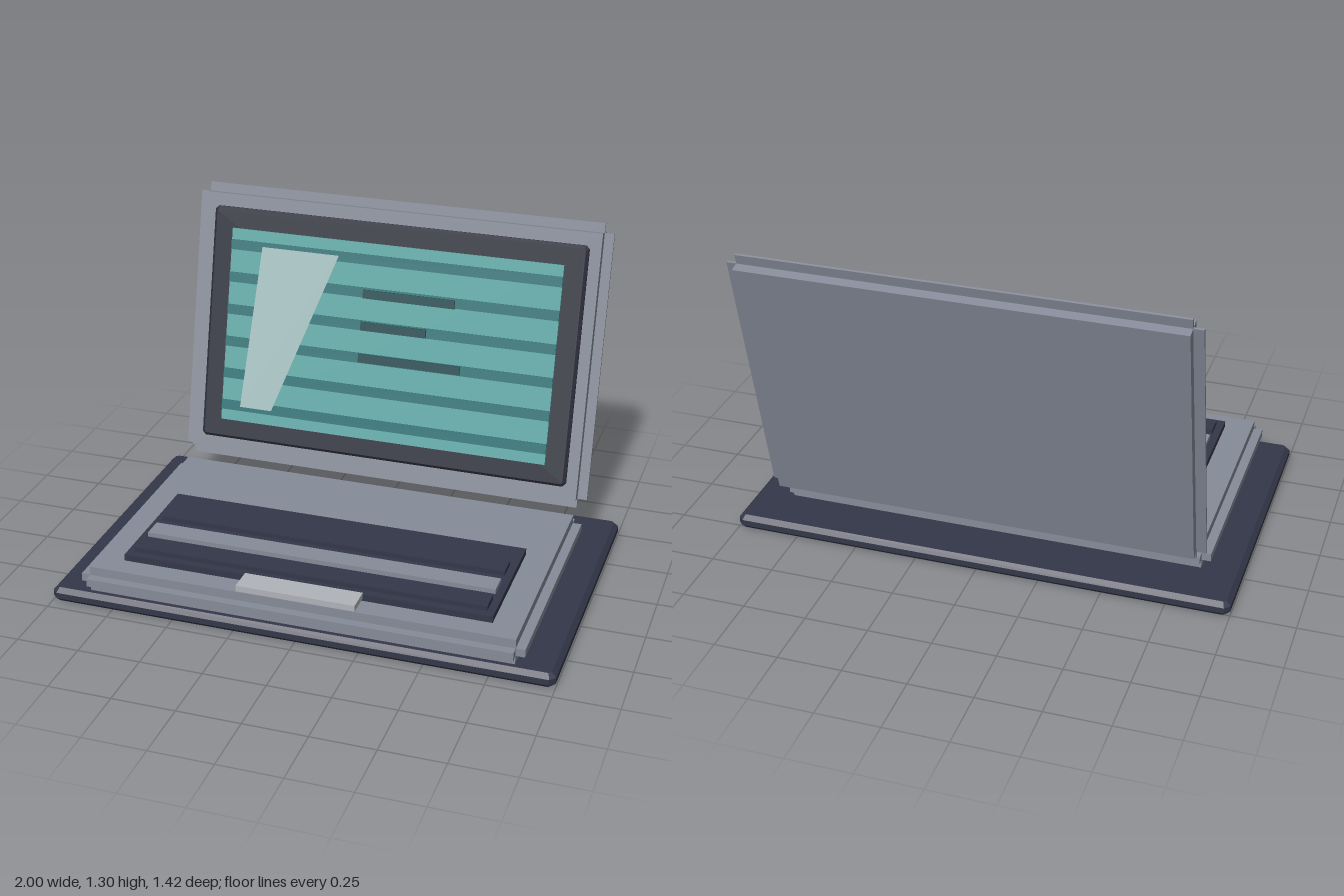
import * as THREE from 'three';

const mat = (color) => new THREE.MeshStandardMaterial({ color, flatShading: true });
const M = {
  slate: mat(0x343749), shell: mat(0x858b98), bezel: mat(0x2e303d), screen: mat(0x5fa8a6),
  stripe: mat(0x2f7376), bar: mat(0x1f4a50), pad: mat(0xb0b3b9), glare: mat(0xa5c0bf),
};
M.glare.side = THREE.DoubleSide;

function add(parent, name, geometry, material, x = 0, y = 0, z = 0) {
  const mesh = new THREE.Mesh(geometry, material);
  mesh.name = name;
  mesh.position.set(x, y, z);
  parent.add(mesh);
  return mesh;
}

const box = (parent, name, material, w, h, d, x, y, z) =>
  add(parent, name, new THREE.BoxGeometry(w, h, d), material, x, y, z);

// Slab with every edge chamfered by c, centred, thickness along z
function chamferSlab(w, h, d, c) {
  const a = w / 2 - c, b = h / 2 - c, k = c * 0.6;
  const shape = new THREE.Shape([
    [-a + k, -b], [a - k, -b], [a, -b + k], [a, b - k],
    [a - k, b], [-a + k, b], [-a, b - k], [-a, -b + k],
  ].map(([x, y]) => new THREE.Vector2(x, y)));
  return new THREE.ExtrudeGeometry(shape, {
    depth: d - 2 * c, bevelEnabled: true, bevelThickness: c, bevelSize: c, bevelSegments: 1,
  }).translate(0, 0, -d / 2 + c);
}

// Stepped-edge block: three crossing boxes, each full size along one axis
function steppedBlock(parent, name, material, w, h, d, r) {
  const group = new THREE.Group();
  group.name = name;
  const s = 2 * r;
  box(group, name + 'Wide', material, w, h - s, d - s, 0, 0, 0);
  box(group, name + 'Tall', material, w - s, h, d - s, 0, 0, 0);
  box(group, name + 'Deep', material, w - s, h - s, d, 0, 0, 0);
  parent.add(group);
  return group;
}

export function createModel() {
  const model = new THREE.Group();
  model.name = 'laptop';

  // Bottom plate
  add(model, 'basePlate', chamferSlab(2, 1.23, 0.06, 0.018).rotateX(-Math.PI / 2),
    M.slate, 0, 0.03, 0.095);

  // Body
  steppedBlock(model, 'body', M.shell, 1.76, 0.104, 1.06, 0.036).position.set(0, 0.113, 0.182);

  // Keyboard and trackpad
  box(model, 'keyboardDeck', M.slate, 1.47, 0.028, 0.53, 0, 0.177, 0.325);
  [0.247, 0.387, 0.513].forEach((z, i) =>
    box(model, 'keyRow', i === 1 ? M.shell : M.slate, 1.41, 0.022, 0.086, 0, 0.199, z));
  box(model, 'trackpad', M.pad, 0.47, 0.024, 0.1, 0, 0.187, 0.638);

  // Tilted lid
  const lid = new THREE.Group();
  lid.name = 'lid';
  lid.position.set(0, 0.7265, -0.5325);
  lid.rotation.x = -0.24;
  model.add(lid);
  steppedBlock(lid, 'lidShell', M.shell, 1.76, 1.172, 0.088, 0.039);
  add(lid, 'bezel', chamferSlab(1.59, 0.988, 0.036, 0.012), M.bezel, 0, 0, 0.047);
  box(lid, 'screen', M.screen, 1.41, 0.818, 0.024, 0, 0, 0.066);

  // Screen stripes
  for (let i = 0; i < 6; i++)
    box(lid, 'screenStripe', M.stripe, 1.41, 0.042, 0.008, 0, 0.342 - i * 0.137, 0.078);

  // Dark bars on the screen: [left, right, height]
  [[-0.115, 0.275, 0.2], [-0.115, 0.165, 0.066], [-0.115, 0.32, -0.068]].forEach(([l, r, y]) =>
    box(lid, 'screenBar', M.bar, r - l, 0.036, 0.014, (l + r) / 2, y, 0.083));

  // Slanted reflection
  const glare = new THREE.Shape([[-0.62, -0.345], [-0.48, -0.345], [-0.23, 0.345], [-0.565, 0.345]]
    .map(([x, y]) => new THREE.Vector2(x, y)));
  add(lid, 'reflection', new THREE.ShapeGeometry(glare), M.glare, 0, 0, 0.087);

  return model;
}
